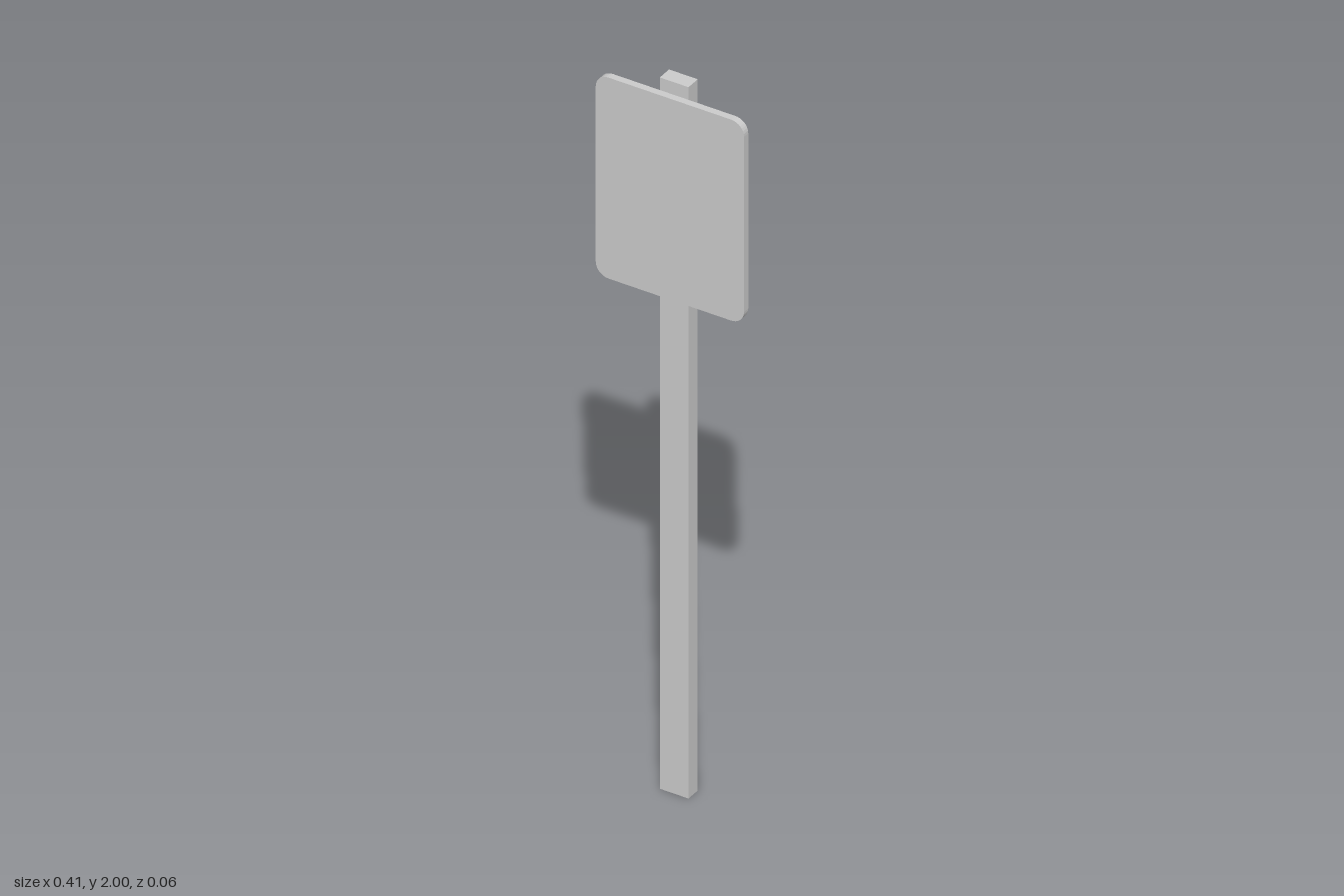
import * as THREE from 'three';

// Rounded rectangle centred on the origin
function roundedRect(w, h, r) {
  const x = w / 2 - r, y = h / 2 - r;
  const s = new THREE.Shape();
  [[x, y], [-x, y], [-x, -y], [x, -y]].forEach(([cx, cy], i) =>
    s.absarc(cx, cy, r, i * Math.PI / 2, (i + 1) * Math.PI / 2, false));
  s.closePath();
  return s;
}

export function createModel() {
  const group = new THREE.Group();
  group.name = 'signPost';
  const material = new THREE.MeshStandardMaterial({ color: 0xcccccc, flatShading: true });

  // Rectangular post, full height
  const post = new THREE.Mesh(new THREE.BoxGeometry(0.08, 2, 0.041), material);
  post.name = 'post';
  post.position.set(0, 1, -0.01);
  group.add(post);

  // Thin rounded sign panel against the front of the post
  const panelGeometry = new THREE.ExtrudeGeometry(roundedRect(0.414, 0.565, 0.036), {
    depth: 0.019, bevelEnabled: false, curveSegments: 4,
  });
  const panel = new THREE.Mesh(panelGeometry, material);
  panel.name = 'signPanel';
  panel.position.set(0, 1.682, 0.0105);
  group.add(panel);

  return group;
}
